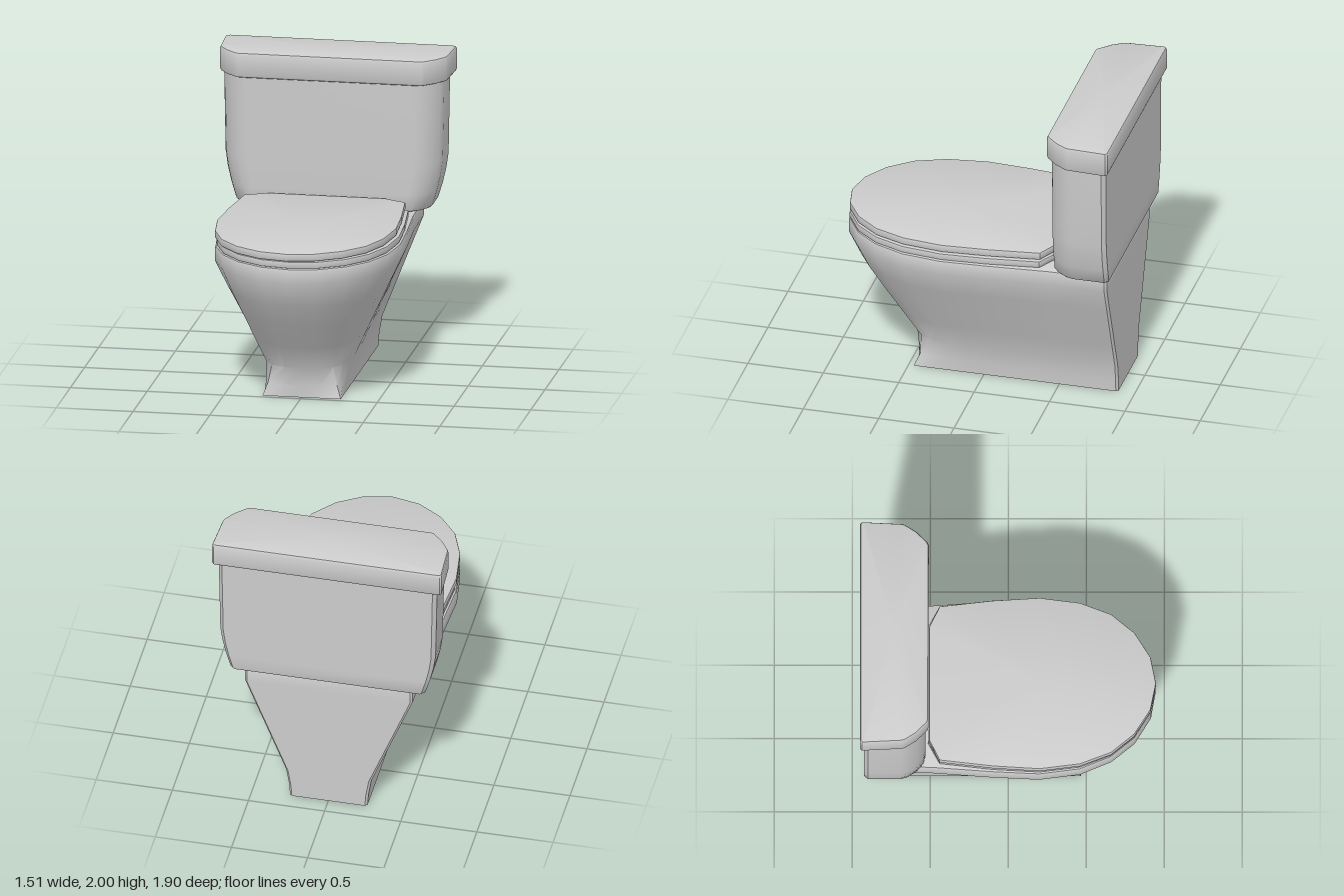
import * as THREE from 'three';
import { toCreasedNormals } from 'three/addons/utils/BufferGeometryUtils.js';

const material = new THREE.MeshStandardMaterial({ color: 0xcccccc });

// Mirrors a half outline of [x, z] points, listed from back to front on the +x side.
function mirrorOutline(half) {
  const other = half.filter(p => p[0] > 0).map(([x, z]) => [-x, z]).reverse();
  return [...half, ...other];
}

// Skins a stack of rings { y, points } from bottom to top and caps both ends.
function loft(name, rings, crease = 0.7) {
  const n = rings[0].points.length;
  const pos = [];
  const index = [];
  for (const { y, points } of rings) for (const [x, z] of points) pos.push(x, y, z);
  for (let r = 0; r < rings.length - 1; r++) {
    for (let i = 0; i < n; i++) {
      const a = r * n + i, b = r * n + (i + 1) % n;
      index.push(b, a, a + n, b, a + n, b + n);
    }
  }
  for (const r of [0, rings.length - 1]) {
    const { y, points } = rings[r];
    const zs = points.map(p => p[1]);
    const centre = pos.length / 3;
    pos.push(0, y, (Math.min(...zs) + Math.max(...zs)) / 2);
    for (let i = 0; i < n; i++) {
      const a = r * n + i, b = r * n + (i + 1) % n;
      if (r === 0) index.push(centre, a, b);
      else index.push(centre, b, a);
    }
  }
  const geometry = new THREE.BufferGeometry();
  geometry.setAttribute('position', new THREE.Float32BufferAttribute(pos, 3));
  geometry.setIndex(index);
  const mesh = new THREE.Mesh(toCreasedNormals(geometry, crease), material);
  mesh.name = name;
  return mesh;
}

// Shrinks an outline by a distance on every side.
function inset(points, d) {
  const xs = points.map(p => p[0]), zs = points.map(p => p[1]);
  const z0 = Math.min(...zs), z1 = Math.max(...zs), c = (z0 + z1) / 2;
  const kx = 1 - d / Math.max(...xs), kz = 1 - 2 * d / (z1 - z0);
  return points.map(([x, z]) => [x * kx, c + (z - c) * kz]);
}

// A plate with softened top and bottom edges.
function slab(name, outline, y0, y1, bevel) {
  const s = bevel * 0.3;
  return loft(name, [
    { y: y0, points: inset(outline, bevel) },
    { y: y0 + s, points: inset(outline, s) },
    { y: y0 + bevel, points: outline },
    { y: y1 - bevel, points: outline },
    { y: y1 - s, points: inset(outline, s) },
    { y: y1, points: inset(outline, bevel) },
  ]);
}

export function createModel() {
  const model = new THREE.Group();
  model.name = 'toilet';

  // Bowl: a square foot that turns into a U-shaped rim
  const foot = mirrorOutline([[0.24, -0.89], [0.255, -0.875], [0.255, -0.5], [0.255, -0.1], [0.255, 0.1],
    [0.255, 0.25], [0.255, 0.38], [0.255, 0.465], [0.12, 0.465], [0, 0.465]]);
  const ankle = mirrorOutline([[0.245, -0.89], [0.26, -0.875], [0.26, -0.5], [0.26, -0.1], [0.26, 0.1],
    [0.255, 0.25], [0.25, 0.36], [0.225, 0.43], [0.12, 0.465], [0, 0.468]]);
  const waist = mirrorOutline([[0.265, -0.89], [0.28, -0.875], [0.28, -0.5], [0.28, -0.1], [0.28, 0.1],
    [0.27, 0.24], [0.25, 0.35], [0.2, 0.43], [0.11, 0.48], [0, 0.49]]);
  const rim = mirrorOutline([[0.535, -0.89], [0.55, -0.875], [0.555, -0.5], [0.585, -0.1], [0.6, 0.2],
    [0.565, 0.46], [0.48, 0.66], [0.355, 0.81], [0.18, 0.915], [0, 0.945]]);
  const blend = (kx, kz) => waist.map(([x, z], i) =>
    [x + (rim[i][0] - x) * kx, z + (rim[i][1] - z) * kz]);
  model.add(loft('bowl', [
    { y: 0, points: foot },
    { y: 0.08, points: ankle },
    { y: 0.2, points: waist },
    { y: 0.37, points: blend(0.25, 0.275) },
    { y: 0.54, points: blend(0.5, 0.55) },
    { y: 0.71, points: blend(0.75, 0.815) },
    { y: 0.88, points: rim },
    { y: 0.96, points: rim },
    { y: 0.975, points: inset(rim, 0.005) },
    { y: 0.98, points: inset(rim, 0.015) },
  ]));

  // Seat and its closed cover
  const seatOutline = mirrorOutline([[0.39, -0.515], [0.53, -0.44], [0.57, -0.1], [0.587, 0.2],
    [0.553, 0.46], [0.472, 0.66], [0.347, 0.81], [0.18, 0.91], [0, 0.94]]);
  model.add(slab('seat', seatOutline, 0.982, 1.026, 0.006));
  const coverOutline = mirrorOutline([[0.385, -0.508], [0.525, -0.44], [0.565, -0.1], [0.584, 0.2],
    [0.55, 0.46], [0.472, 0.66], [0.345, 0.81], [0.18, 0.912], [0, 0.947]]);
  const cover = slab('seatCover', coverOutline, 1.03, 1.08, 0.007);
  cover.position.x = -0.015;
  model.add(cover);

  // Tank: narrows toward the bottom, front corners cut back
  const tankOutline = mirrorOutline([[0.69, -0.925], [0.715, -0.9], [0.715, -0.69], [0.7, -0.645],
    [0.655, -0.585], [0.6, -0.545], [0.545, -0.53]]);
  const narrow = w => tankOutline.map(([x, z]) => [x * w / 0.715, z]);
  model.add(loft('tank', [
    { y: 0.985, points: inset(narrow(0.63), 0.015) },
    { y: 0.99, points: inset(narrow(0.635), 0.005) },
    { y: 1.0, points: narrow(0.64) },
    { y: 1.1, points: narrow(0.67) },
    { y: 1.2, points: narrow(0.693) },
    { y: 1.3, points: narrow(0.707) },
    { y: 1.84, points: narrow(0.717) },
  ]));

  // Tank lid
  const lidOutline = mirrorOutline([[0.742, -0.95], [0.755, -0.937], [0.742, -0.68], [0.735, -0.66],
    [0.69, -0.59], [0.62, -0.52], [0.6, -0.51]]);
  model.add(slab('tankLid', lidOutline, 1.83, 2, 0.02));

  return model;
}
